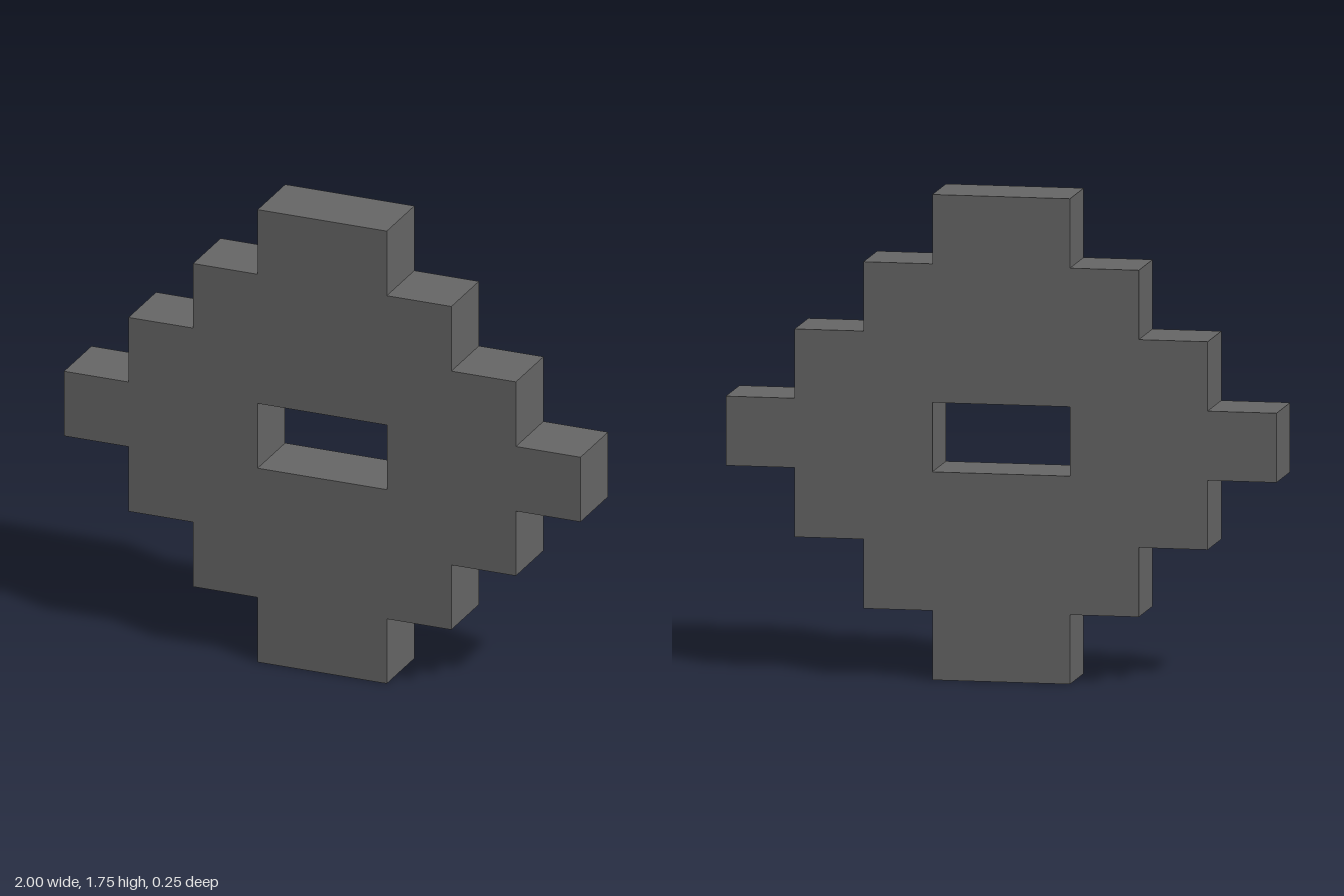
import * as THREE from 'three';

const UNIT = 0.25; // edge of one step

export function createModel() {
  const group = new THREE.Group();
  group.name = 'steppedDiamond';

  const grey = new THREE.MeshStandardMaterial({ color: 0x666666 });
  grey.name = 'grey';

  // Right half of the stepped outline, bottom to top: half width of each row in steps
  const right = [];
  [1, 2, 3, 4, 3, 2, 1].forEach((half, row) => {
    right.push([half * UNIT, row * UNIT], [half * UNIT, (row + 1) * UNIT]);
  });
  const left = right.map(([x, y]) => [-x, y]).reverse();
  const shape = new THREE.Shape([...right, ...left].map(([x, y]) => new THREE.Vector2(x, y)));

  // Rectangular window through the middle row
  const hole = new THREE.Path();
  hole.moveTo(-UNIT, 3 * UNIT);
  hole.lineTo(-UNIT, 4 * UNIT);
  hole.lineTo(UNIT, 4 * UNIT);
  hole.lineTo(UNIT, 3 * UNIT);
  hole.closePath();
  shape.holes.push(hole);

  // Slab one step thick, centred in depth
  const geometry = new THREE.ExtrudeGeometry(shape, { depth: UNIT, bevelEnabled: false });
  geometry.translate(0, 0, -UNIT / 2);
  const slab = new THREE.Mesh(geometry, grey);
  slab.name = 'steppedSlab';
  group.add(slab);

  return group;
}
